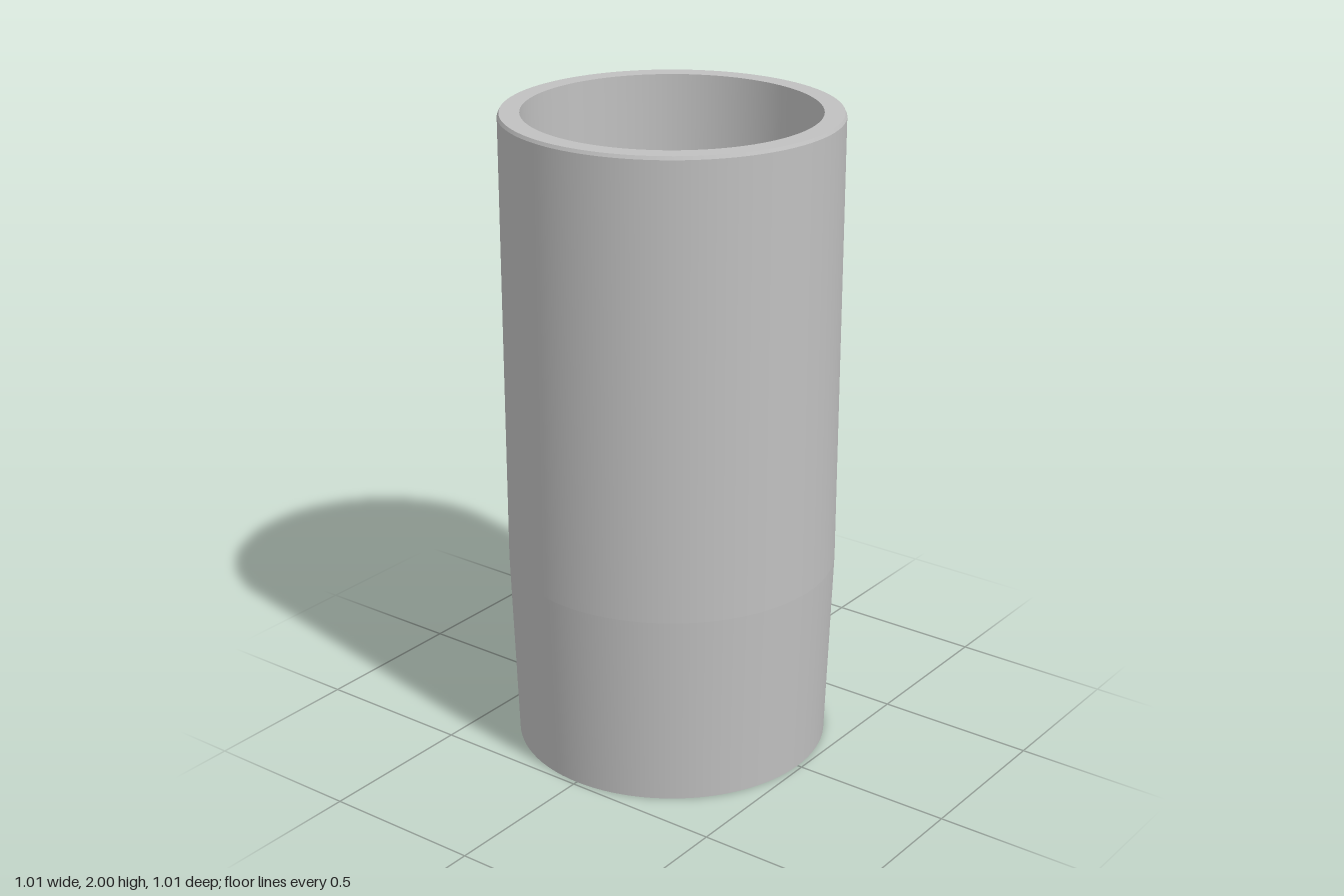
import * as THREE from 'three';
import { mergeGeometries } from 'three/addons/utils/BufferGeometryUtils.js';

const SEGMENTS = 96;

// Lathe each stretch of the profile on its own so the edges between stretches stay sharp
function creasedLathe(profile) {
  const points = profile.map(([r, y]) => new THREE.Vector2(r, y));
  const bands = points.map((p, i) =>
    new THREE.LatheGeometry([p, points[(i + 1) % points.length]], SEGMENTS));
  return mergeGeometries(bands);
}

export function createModel() {
  const model = new THREE.Group();
  model.name = 'sleeve';

  const grey = new THREE.MeshStandardMaterial({ color: 0xc0c0c0 });
  grey.name = 'plain grey';

  // Tube wall: up the outside, over the rim, down the bore, back along the foot
  const wall = new THREE.Mesh(creasedLathe([
    [0.485, 0],
    [0.505, 0.6],
    [0.505, 1.99],
    [0.5, 2],
    [0.44, 2],
    [0.43, 1.1],
    [0.415, 0.95],
    [0.433, 0.55],
    [0.433, 0],
  ]), grey);
  wall.name = 'tubeWall';
  model.add(wall);

  // Two opposed pins standing inward from the bore near the foot
  const pinGeometry = new THREE.CylinderGeometry(0.06, 0.06, 0.1, 40);
  pinGeometry.rotateZ(Math.PI / 2);
  pinGeometry.translate(0.41, 0.22, 0);
  for (let i = 0; i < 2; i++) {
    const pin = new THREE.Mesh(pinGeometry, grey);
    pin.name = i === 0 ? 'leftPin' : 'rightPin';
    pin.rotation.y = THREE.MathUtils.degToRad(23) + i * Math.PI;
    model.add(pin);
  }

  return model;
}
